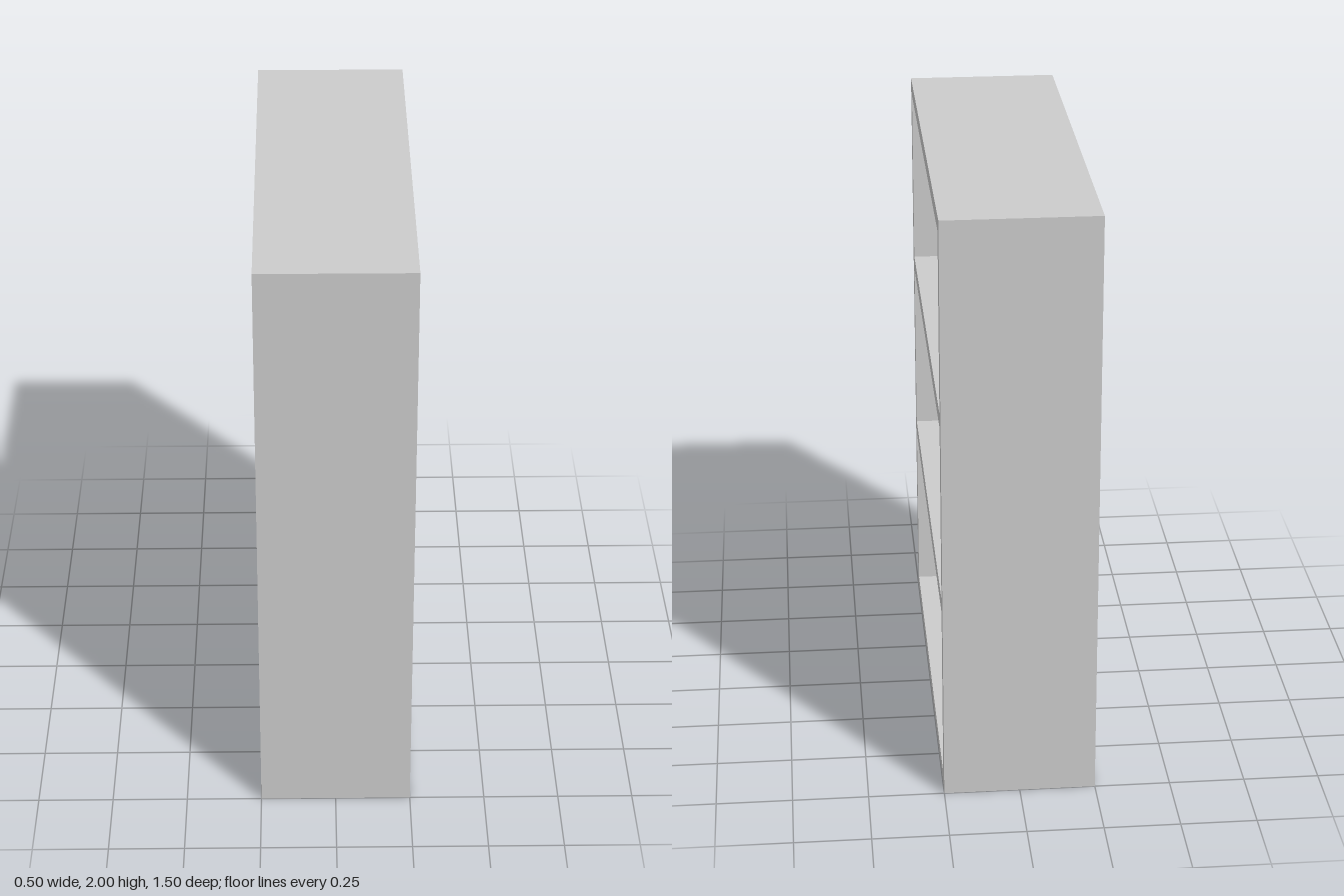
import * as THREE from 'three';

const WIDTH = 1.5, HEIGHT = 2, DEPTH = 0.5, BOARD = 0.05, BAYS = 3;

// Rectangle outline centred on x = 0, starting at height y
function rectangle(Type, width, y, height) {
  const w = width / 2;
  return new Type([
    new THREE.Vector2(-w, y),
    new THREE.Vector2(w, y),
    new THREE.Vector2(w, y + height),
    new THREE.Vector2(-w, y + height),
  ]);
}

export function createModel() {
  const group = new THREE.Group();
  group.name = 'bookcase';
  const material = new THREE.MeshStandardMaterial({ color: 0xcccccc, flatShading: true });

  // Sides, top, bottom and shelves: one outline with a hole for each bay
  const outline = rectangle(THREE.Shape, WIDTH, 0, HEIGHT);
  const bayHeight = (HEIGHT - BOARD * (BAYS + 1)) / BAYS;
  for (let i = 0; i < BAYS; i++) {
    const y = BOARD + i * (bayHeight + BOARD);
    outline.holes.push(rectangle(THREE.Path, WIDTH - 2 * BOARD, y, bayHeight));
  }
  const frameGeometry = new THREE.ExtrudeGeometry(outline, { depth: DEPTH - BOARD, bevelEnabled: false });
  frameGeometry.rotateY(Math.PI / 2); // bays open towards +x
  const frame = new THREE.Mesh(frameGeometry, material);
  frame.name = 'frameAndShelves';
  frame.position.x = -DEPTH / 2 + BOARD;
  group.add(frame);

  // Closed back of the bays, on the -x side
  const back = new THREE.Mesh(new THREE.BoxGeometry(BOARD, HEIGHT, WIDTH), material);
  back.name = 'backPanel';
  back.position.set(-DEPTH / 2 + BOARD / 2, HEIGHT / 2, 0);
  group.add(back);

  return group;
}
